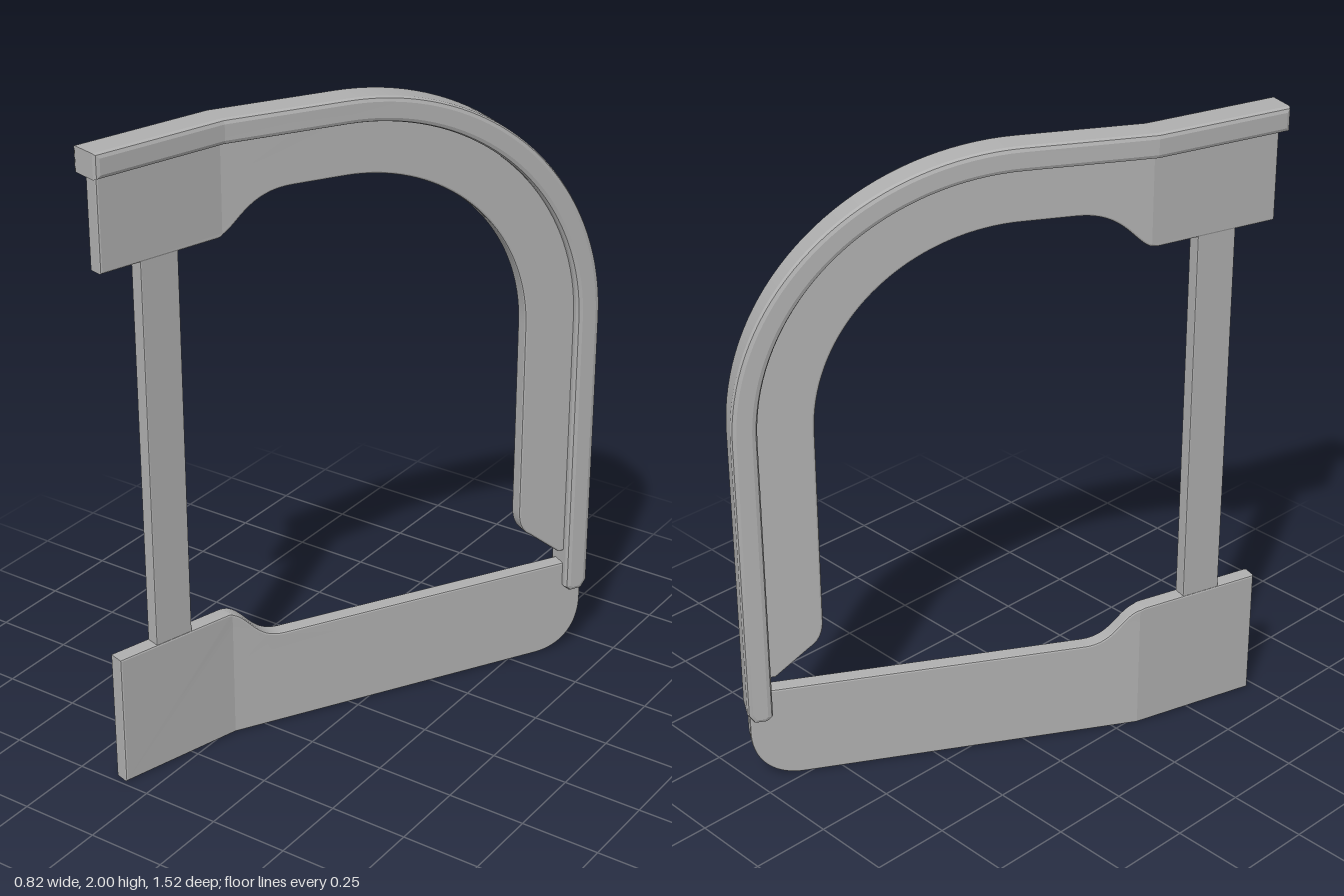
import * as THREE from 'three';
import { toCreasedNormals } from 'three/addons/utils/BufferGeometryUtils.js';

// The frame is drawn flat (s runs front to rear, y up) and folded about a vertical line at s = BEND.
const BEND = -0.33;
const FRONT = { slope: 0.277, n: [0.964, 0.267] };
const REAR = { slope: 0.5775, n: [0.866, 0.5] };
const MITRE = [0.922, 0.387];

// Maps flat (s, y, w) to the folded frame, w being the offset across the thickness.
function fold([s, y, w]) {
  const side = s < BEND ? FRONT : REAR;
  const n = Math.abs(s - BEND) < 1e-4 ? MITRE : side.n;
  return [-0.25 + (s - BEND) * side.slope + w * n[0], y, -s + w * n[1]];
}

// Keeps the part of a polygon on one side of the bend.
function clip(poly, sign) {
  const out = [];
  poly.forEach((a, i) => {
    const b = poly[(i + 1) % poly.length];
    const da = (a[0] - BEND) * sign, db = (b[0] - BEND) * sign;
    if (da >= 0) out.push(a);
    if (da * db < 0) {
      const t = da / (da - db);
      out.push([BEND, a[1] + (b[1] - a[1]) * t, a[2] + (b[2] - a[2]) * t]);
    }
  });
  return out;
}

// Extrudes a flat shape with softened edges, splits it at the bend and folds it.
function foldedPlate(name, shape, thickness, bevel, material) {
  const flat = new THREE.ExtrudeGeometry(shape, {
    depth: thickness - 2 * bevel, bevelThickness: bevel, bevelSize: bevel,
    bevelOffset: -bevel, bevelSegments: 2, curveSegments: 18,
  }).translate(0, 0, bevel - thickness / 2);
  const p = flat.toNonIndexed ? (flat.index ? flat.toNonIndexed() : flat).attributes.position : null;
  const positions = [];
  for (let i = 0; i < p.count; i += 3) {
    const tri = [0, 1, 2].map((k) => [p.getX(i + k), p.getY(i + k), p.getZ(i + k)]);
    for (const sign of [-1, 1]) {
      const poly = clip(tri, sign);
      for (let k = 1; k + 1 < poly.length; k++) {
        positions.push(...fold(poly[0]), ...fold(poly[k]), ...fold(poly[k + 1]));
      }
    }
  }
  const geometry = new THREE.BufferGeometry();
  geometry.setAttribute('position', new THREE.Float32BufferAttribute(positions, 3));
  geometry.computeVertexNormals();
  const mesh = new THREE.Mesh(toCreasedNormals(geometry, 0.2), material);
  mesh.name = name;
  return mesh;
}

export function createModel() {
  const group = new THREE.Group();
  group.name = 'bentDoorFrame';
  const grey = new THREE.MeshStandardMaterial({ color: 0xb0b0b0 });
  grey.name = 'grey';
  const archY = 1.18, q = Math.PI / 2;

  // upper plate: front tab, arch and rear upright
  const upper = new THREE.Shape();
  upper.moveTo(-0.73, 1.645);
  upper.lineTo(-0.345, 1.645);
  upper.bezierCurveTo(-0.29, 1.65, -0.27, 1.765, -0.14, 1.765);
  upper.lineTo(0, 1.765);
  upper.absellipse(0, archY, 0.525, 0.585, q, 0, true);
  upper.lineTo(0.525, 0.54);
  upper.quadraticCurveTo(0.525, 0.475, 0.56, 0.45);
  upper.lineTo(0.655, 0.36);
  upper.lineTo(0.7, 0.36);
  upper.lineTo(0.7, archY);
  upper.absellipse(0, archY, 0.7, 0.78, 0, q, false);
  upper.lineTo(-0.73, 1.96);
  upper.closePath();
  group.add(foldedPlate('upperPlate', upper, 0.05, 0.006, grey));

  // lower plate with raised front tab and rounded rear corner
  const lower = new THREE.Shape();
  lower.moveTo(-0.73, 0);
  lower.lineTo(0.59, 0);
  lower.bezierCurveTo(0.68, 0, 0.73, 0.07, 0.73, 0.17);
  lower.lineTo(0.73, 0.315);
  lower.lineTo(-0.18, 0.315);
  lower.bezierCurveTo(-0.27, 0.315, -0.28, 0.42, -0.345, 0.425);
  lower.lineTo(-0.73, 0.425);
  lower.closePath();
  group.add(foldedPlate('lowerPlate', lower, 0.05, 0.006, grey));

  // front post between the two tabs
  const post = new THREE.Shape();
  post.moveTo(-0.602, 0.4);
  post.lineTo(-0.478, 0.4);
  post.lineTo(-0.478, 1.67);
  post.lineTo(-0.602, 1.67);
  post.closePath();
  group.add(foldedPlate('frontPost', post, 0.045, 0.004, grey));

  // thick outer rail along the top, round the arch and down the rear
  const rail = new THREE.Shape();
  rail.moveTo(-0.748, 1.925);
  rail.lineTo(0, 1.925);
  rail.absellipse(0, archY, 0.67, 0.745, q, 0, true);
  rail.lineTo(0.67, 0.235);
  rail.lineTo(0.685, 0.22);
  rail.lineTo(0.72, 0.22);
  rail.lineTo(0.737, 0.25);
  rail.lineTo(0.737, archY);
  rail.absellipse(0, archY, 0.737, 0.82, 0, q, false);
  rail.lineTo(-0.748, 2);
  rail.closePath();
  group.add(foldedPlate('outerRail', rail, 0.108, 0.014, grey));

  return group;
}
